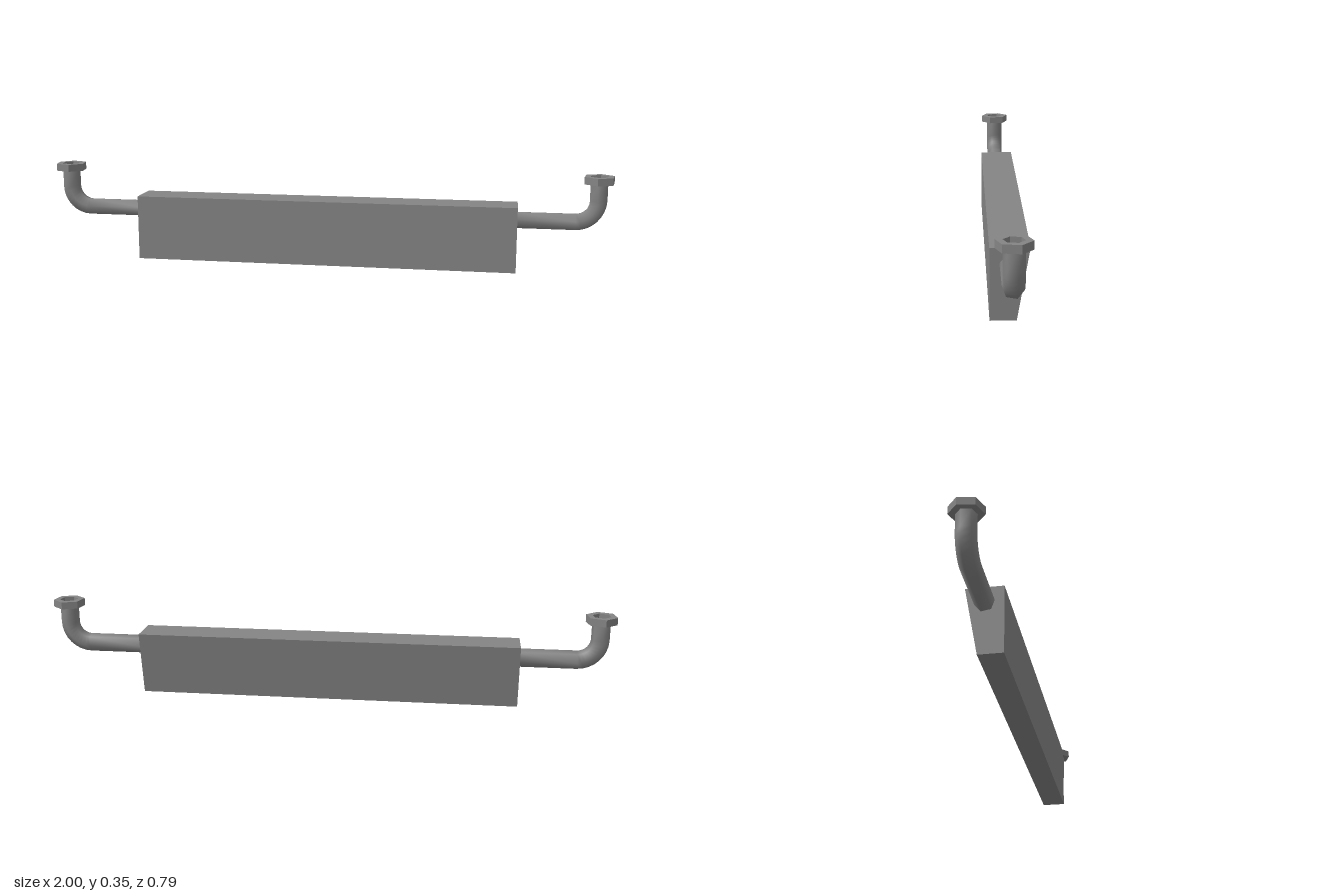
import * as THREE from 'three';

const TILT = THREE.MathUtils.degToRad(20);
const PIPE_R = 0.034, NUT_R = 0.058, REACH = 1.002;
const PIPE_Y = 0.186, NUT_BOTTOM = 0.328, TOP = 0.355, BEND = 0.08;

const corner = (k, phase) => phase + k * Math.PI / 3;

// Six-sided smooth pipe: runs outwards, bends, then rises to the nut
function pipeGeometry(phase) {
  const stations = [[0.7, PIPE_Y, 0]];
  for (let i = 0; i <= 8; i++) {
    const t = i / 8 * Math.PI / 2;
    stations.push([REACH - BEND + BEND * Math.sin(t), PIPE_Y + BEND - BEND * Math.cos(t), t]);
  }
  stations.push([REACH, NUT_BOTTOM, Math.PI / 2]);

  const positions = [], index = [];
  stations.forEach(([x, y, t], s) => {
    for (let k = 0; k < 6; k++) {
      const a = corner(k, phase), n = PIPE_R * Math.cos(a);
      positions.push(x + n * Math.sin(t), y - n * Math.cos(t), PIPE_R * Math.sin(a));
      if (s === 0) continue;
      const next = (k + 1) % 6, lo = (s - 1) * 6, hi = s * 6;
      index.push(lo + k, hi + k, lo + next, hi + k, hi + next, lo + next);
    }
  });
  const geometry = new THREE.BufferGeometry();
  geometry.setAttribute('position', new THREE.Float32BufferAttribute(positions, 3));
  geometry.setIndex(index);
  geometry.computeVertexNormals();
  return geometry;
}

// Hexagonal ring whose hole continues the pipe
function nutGeometry(phase) {
  const hex = r => Array.from({ length: 6 }, (_, k) =>
    new THREE.Vector2(r * Math.cos(corner(k, phase)), r * Math.sin(corner(k, phase))));
  const shape = new THREE.Shape(hex(NUT_R));
  shape.holes.push(new THREE.Path(hex(PIPE_R)));
  return new THREE.ExtrudeGeometry(shape, { depth: TOP - NUT_BOTTOM, bevelEnabled: false })
    .rotateX(Math.PI / 2)
    .translate(REACH, TOP, 0);
}

export function createModel() {
  const grey = new THREE.MeshStandardMaterial({ color: 0x848484, side: THREE.DoubleSide });
  grey.name = 'grey metal';

  const model = new THREE.Group();
  model.name = 'pipedTank';
  const add = (parent, name, geometry) => {
    const mesh = new THREE.Mesh(geometry, grey);
    mesh.name = name;
    parent.add(mesh);
  };

  // Long tank with an upright front and a back that slopes in towards the base
  const section = new THREE.Shape([[-0.065, 0], [0.022, 0], [0.065, 0.242], [-0.065, 0.242]]
    .map(([x, y]) => new THREE.Vector2(x, y)));
  const tank = new THREE.ExtrudeGeometry(section, { depth: 1.43, bevelEnabled: false })
    .translate(0, 0, -0.715)
    .rotateY(Math.PI / 2);
  add(model, 'tank', tank);

  // Mirrored pipe and nut at each end
  for (const side of [1, -1]) {
    const end = new THREE.Group();
    end.name = side > 0 ? 'leftConnection' : 'rightConnection';
    end.rotation.y = side > 0 ? 0 : Math.PI;
    add(end, 'pipe', pipeGeometry(-side * TILT));
    add(end, 'nut', nutGeometry(-side * TILT));
    model.add(end);
  }

  // The whole assembly lies diagonally
  model.rotation.y = -TILT;
  const root = new THREE.Group();
  root.name = 'model';
  root.add(model);
  return root;
}
